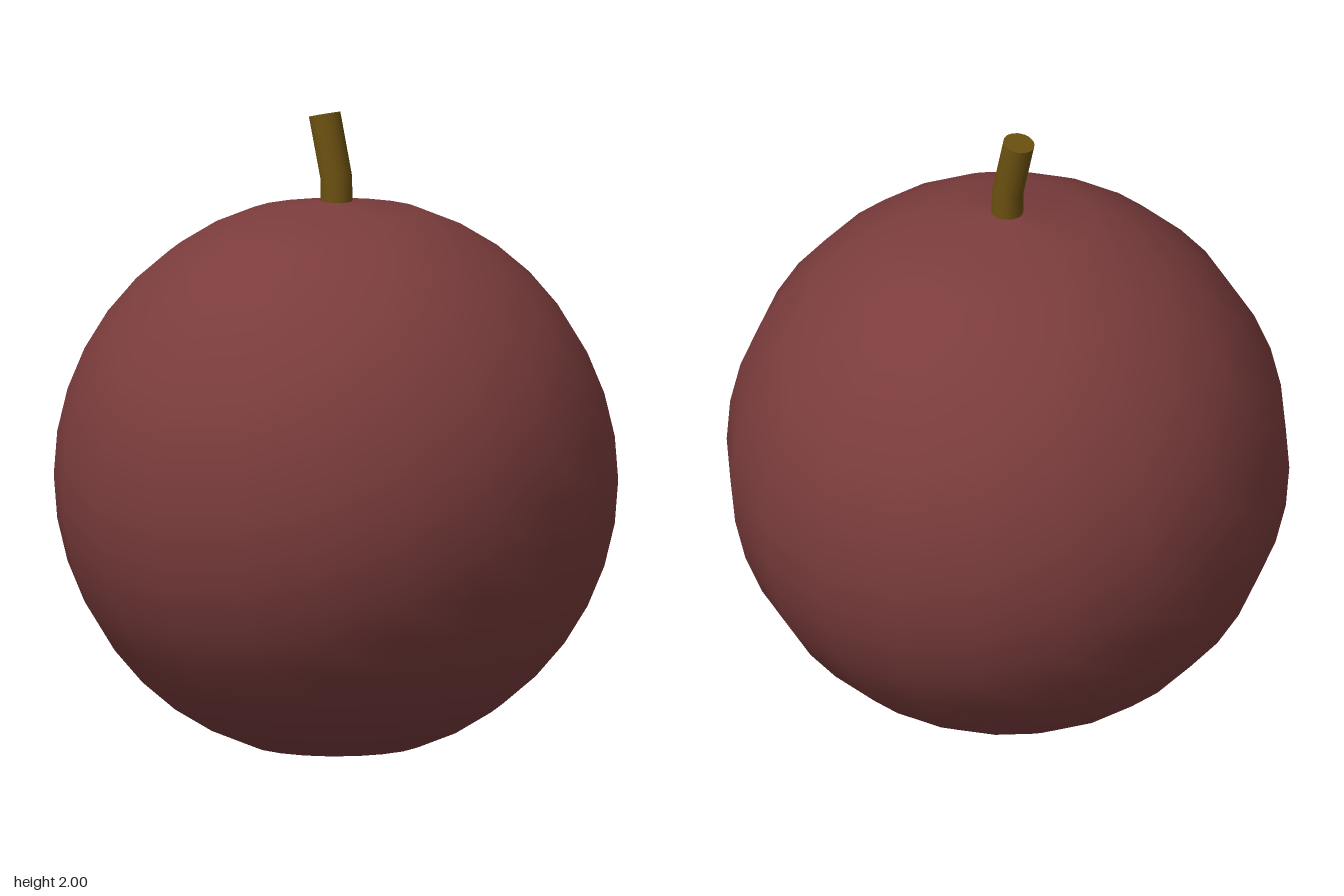
import * as THREE from 'three';

const RADIUS = 0.886;
const CENTRE_Y = RADIUS * Math.cos(Math.PI / 10);

// Round fruit with a flat base, turned from a polygonal arc in 9 degree steps
function createFruit() {
  const profile = [new THREE.Vector2(0, 0)];
  for (let deg = 162; deg >= 18; deg -= 9) {
    const a = THREE.MathUtils.degToRad(deg);
    profile.push(new THREE.Vector2(RADIUS * Math.sin(a), Math.max(0, CENTRE_Y + RADIUS * Math.cos(a))));
  }
  profile.push(new THREE.Vector2(0, CENTRE_Y + RADIUS));
  const fruit = new THREE.Mesh(
    new THREE.LatheGeometry(profile, 20),
    new THREE.MeshStandardMaterial({ color: 0x7b3c3c })
  );
  fruit.name = 'fruit';
  return fruit;
}

// Stem: a capped cylinder whose three rings follow a path leaning backwards
function createStem() {
  const rings = [
    { y: 1.69, z: 0.003, tilt: 0 },
    { y: 1.795, z: 0.001, tilt: -0.11 },
    { y: 1.99, z: -0.046, tilt: -0.21 },
  ];
  const geometry = new THREE.CylinderGeometry(0.05, 0.05, 2, 16, 2);
  const position = geometry.attributes.position;
  for (let i = 0; i < position.count; i++) {
    const ring = rings[Math.round(position.getY(i)) + 1];
    const z = position.getZ(i);
    position.setY(i, ring.y - z * Math.sin(ring.tilt));
    position.setZ(i, ring.z + z * Math.cos(ring.tilt));
  }
  // Tilt the normals with their rings
  const axis = new THREE.Vector3(1, 0, 0);
  const normal = new THREE.Vector3();
  for (let i = 0; i < position.count; i++) {
    const y = position.getY(i);
    const ring = rings[y < 1.74 ? 0 : y < 1.9 ? 1 : 2];
    normal.fromBufferAttribute(geometry.attributes.normal, i).applyAxisAngle(axis, ring.tilt);
    geometry.attributes.normal.setXYZ(i, normal.x, normal.y, normal.z);
  }
  const stem = new THREE.Mesh(geometry, new THREE.MeshStandardMaterial({ color: 0x6b5010 }));
  stem.name = 'stem';
  return stem;
}

export function createModel() {
  const model = new THREE.Group();
  model.name = 'roundFruit';
  model.add(createFruit(), createStem());
  return model;
}
